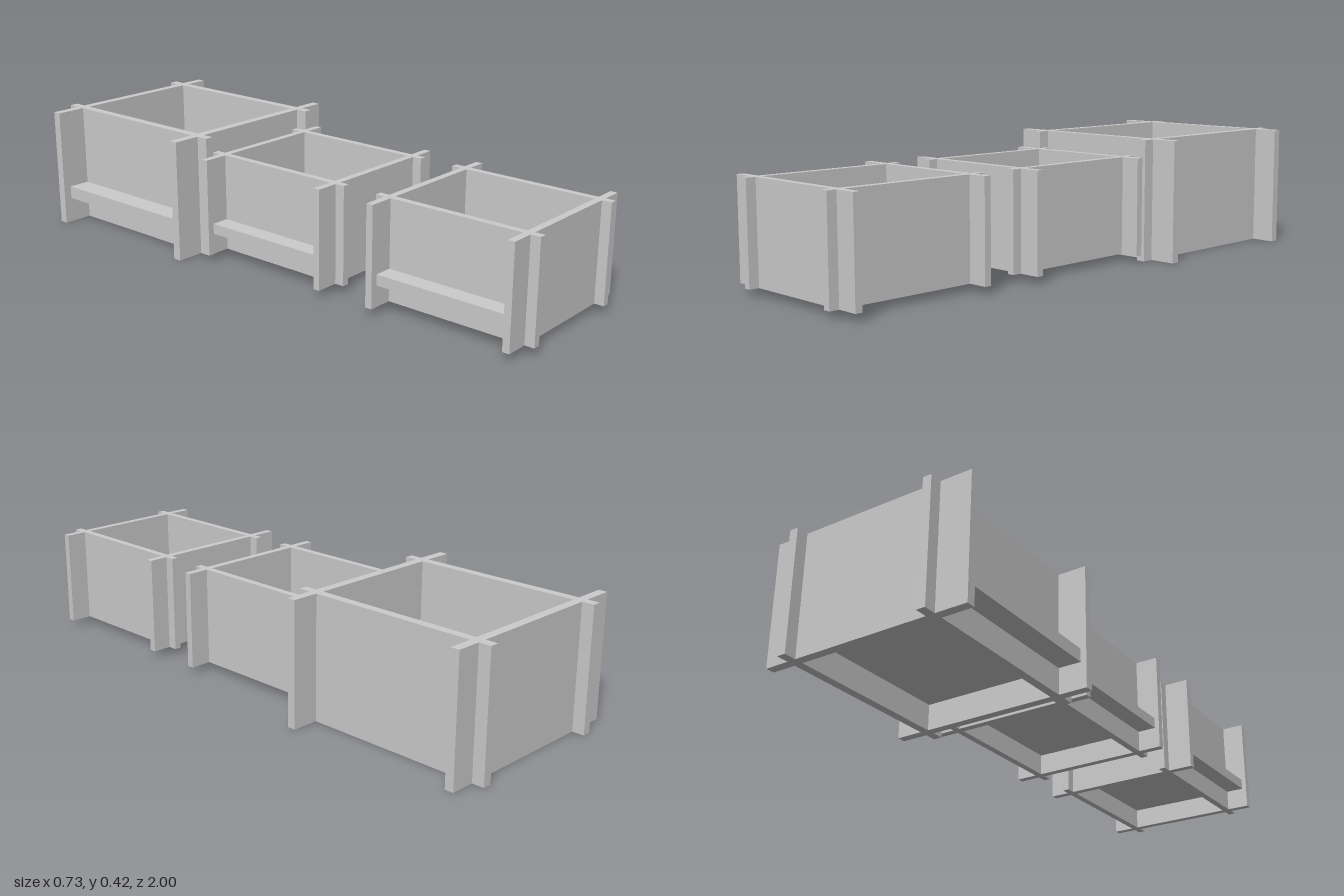
import * as THREE from 'three';

const material = new THREE.MeshStandardMaterial({ color: 0xcccccc, flatShading: true });

// Box given by its lower and upper limits on each axis
function board(name, [x0, x1], [y0, y1], [z0, z1]) {
  const mesh = new THREE.Mesh(new THREE.BoxGeometry(x1 - x0, y1 - y0, z1 - z0), material);
  mesh.position.set((x0 + x1) / 2, (y0 + y1) / 2, (z0 + z1) / 2);
  mesh.name = name;
  return mesh;
}

// Planter of four interlocking boards and a raised floor that sticks out on one side
function planter(name) {
  const group = new THREE.Group();
  group.name = name;
  const height = 0.42, t = 0.015;
  const sideX = 0.251, endZ = 0.306, halfLength = 0.3625, halfWidth = 0.362;

  // Side boards run front to back
  for (const [side, s] of [['left', 1], ['right', -1]]) {
    group.add(board(side + 'SideBoard', [s * sideX - t, s * sideX + t], [0, height], [-halfLength, halfLength]));
  }
  // End boards cross the side boards, each slightly off centre
  for (const [end, s, shift] of [['front', 1, -0.003], ['back', -1, -0.012]]) {
    group.add(board(end + 'EndBoard', [shift - halfWidth, shift + halfWidth], [0, height], [s * endZ - t, s * endZ + t]));
  }
  // Floor panel with its ledge on the right side
  group.add(board('floorPanel', [-0.345, sideX - t], [0.09, 0.135], [-endZ + t, endZ - t]));
  return group;
}

export function createModel() {
  const model = new THREE.Group();
  model.name = 'planterRow';

  // One large planter at the back, two smaller ones in front
  const layout = [
    ['largePlanter', 1, 0.007, 0, -0.637],
    ['middlePlanter', 0.8, -0.002, 0.025, 0.003],
    ['frontPlanter', 0.8, -0.002, 0.025, 0.71],
  ];
  for (const [name, scale, x, y, z] of layout) {
    const box = planter(name);
    box.scale.setScalar(scale);
    box.position.set(x, y, z);
    model.add(box);
  }
  return model;
}
